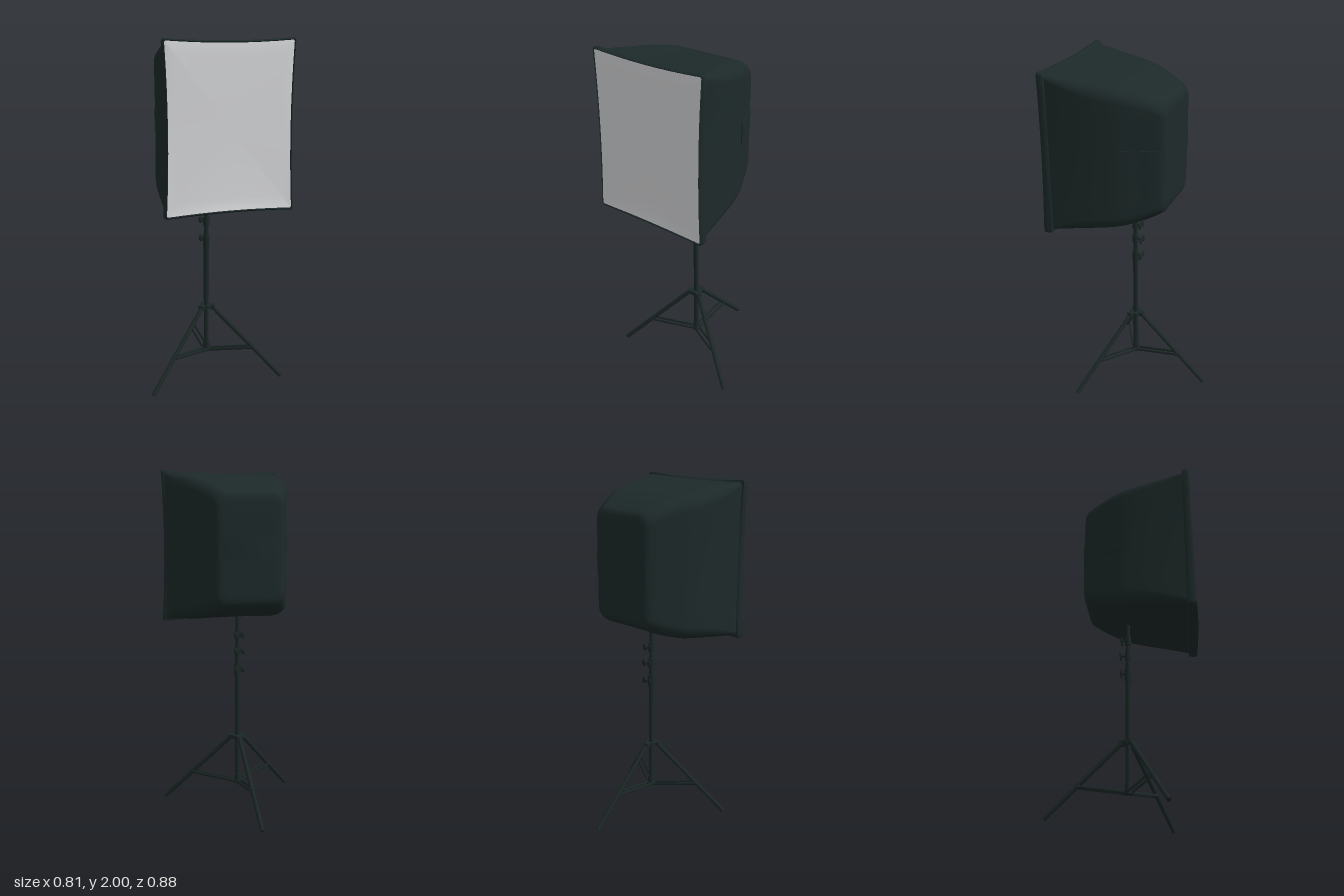
import * as THREE from 'three';
import { toCreasedNormals } from 'three/addons/utils/BufferGeometryUtils.js';

const fabric = new THREE.MeshStandardMaterial({ color: 0x1d2929 });
fabric.name = 'dark fabric';
const metal = new THREE.MeshStandardMaterial({ color: 0x1b2726 });
metal.name = 'dark metal';
const cloth = new THREE.MeshStandardMaterial({ color: 0xdbdcde });
cloth.name = 'white diffuser cloth';

const POLE_Z = 0.022;
const MID_Y = 1.543;

function add(parent, name, geometry, material) {
  const mesh = new THREE.Mesh(geometry, material);
  mesh.name = name;
  parent.add(mesh);
  return mesh;
}

// Rounded rectangle ring, counter-clockwise; bow pulls the sides inward
function ring(z, hw, yb, yt, r, bow = 0) {
  const hh = (yt - yb) / 2, cy = (yt + yb) / 2, pts = [];
  const corners = [[1, 1], [-1, 1], [-1, -1], [1, -1]];
  corners.forEach(([sx, sy], k) => {
    for (let i = 0; i <= 6; i++) {
      const a = (k + i / 6) * Math.PI / 2;
      pts.push([sx * (hw - r) + Math.cos(a) * r, sy * (hh - r) + Math.sin(a) * r]);
    }
    // points along the straight side to the next corner
    const [nx, ny] = corners[(k + 1) % 4];
    const a = (k + 1) * Math.PI / 2;
    for (let i = 1; i < 8; i++) {
      const t = i / 8;
      pts.push([
        (sx + (nx - sx) * t) * (hw - r) + Math.cos(a) * r,
        (sy + (ny - sy) * t) * (hh - r) + Math.sin(a) * r,
      ]);
    }
  });
  return pts.map(([x, y]) => {
    const u = x / hw, v = y / hh;
    return new THREE.Vector3(x - u * bow * (1 - v * v), cy + y - v * bow * (1 - u * u), z);
  });
}

// Front rings lean forward at the bottom, most of all in the middle
function lean(pts) {
  pts.forEach((p) => {
    const u = p.x / 0.36, v = (p.y - MID_Y) / 0.457;
    p.z += -0.006 * v + 0.01 * (1 - u * u) * Math.max(0, -v);
  });
  return pts;
}

// Skin through a row of rings
function loft(rings) {
  const n = rings[0].length, pos = [], idx = [];
  rings.forEach((pts) => pts.forEach((p) => pos.push(p.x, p.y, p.z)));
  for (let i = 0; i < rings.length - 1; i++) {
    for (let j = 0; j < n; j++) {
      const k = (j + 1) % n;
      const a = i * n + j, b = i * n + k, c = b + n, d = a + n;
      idx.push(a, b, c, a, c, d);
    }
  }
  const g = new THREE.BufferGeometry();
  g.setAttribute('position', new THREE.Float32BufferAttribute(pos, 3));
  g.setIndex(idx);
  g.computeVertexNormals();
  return g;
}

const scaled = (pts, s, z) => pts.map((p) => new THREE.Vector3(p.x * s, MID_Y + (p.y - MID_Y) * s, z));

// Rod between two points
function rod(parent, name, a, b, r, material = metal, sides = 12) {
  const dir = b.clone().sub(a);
  const mesh = add(parent, name, new THREE.CylinderGeometry(r, r, dir.length(), sides), material);
  mesh.position.copy(a).lerp(b, 0.5);
  mesh.quaternion.setFromUnitVectors(new THREE.Vector3(0, 1, 0), dir.normalize());
  return mesh;
}

function upright(parent, name, r, y0, y1) {
  return rod(parent, name, new THREE.Vector3(0, y0, 0), new THREE.Vector3(0, y1, 0), r, metal, 20);
}

function createSoftbox() {
  const box = new THREE.Group();
  box.name = 'softbox';

  // Hood stations from back to front: z, half width, bottom, top, corner radius
  const stations = [
    [-0.224, 0.16, 1.28, 1.81, 0.05],
    [-0.214, 0.188, 1.246, 1.847, 0.06],
    [-0.185, 0.212, 1.222, 1.872, 0.07],
    [-0.1, 0.251, 1.182, 1.91, 0.075],
    [0, 0.295, 1.15, 1.939, 0.08],
    [0.1, 0.319, 1.132, 1.956, 0.08],
    [0.2, 0.334, 1.12, 1.968, 0.07],
    [0.3, 0.343, 1.111, 1.978, 0.045],
    [0.385, 0.348, 1.103, 1.985, 0.02],
  ];
  const sizes = new THREE.CatmullRomCurve3(stations.map((s) => new THREE.Vector3(s[0], s[1], s[4])), false, 'catmullrom');
  const heights = new THREE.CatmullRomCurve3(stations.map((s) => new THREE.Vector3(s[0], s[2], s[3])), false, 'catmullrom');
  const rings = [], sideLine = [];
  for (let i = 0; i <= 32; i++) {
    const a = sizes.getPoint(i / 32), b = heights.getPoint(i / 32);
    rings.push(ring(a.x, a.y, b.y, b.z, a.z, 0.008 * i / 32));
    if (a.x <= 0.002) sideLine.push([a.y + 0.002, a.x - (a.x < -0.21 ? 0.003 : 0)]);
  }
  rings.unshift(scaled(rings[0], 0, -0.226), scaled(rings[0], 0.6, -0.226));
  add(box, 'hood', loft(rings), fabric);

  // Hem around the front opening
  const hem = [
    ring(0.374, 0.345, 1.106, 1.983, 0.016, 0.01),
    ring(0.379, 0.358, 1.09, 1.996, 0.014, 0.014),
    ring(0.398, 0.362, 1.086, 2.0, 0.014, 0.014),
    lean(ring(0.416, 0.36, 1.087, 1.999, 0.014, 0.014)),
    lean(ring(0.422, 0.354, 1.094, 1.993, 0.012, 0.014)),
    lean(ring(0.415, 0.348, 1.101, 1.986, 0.01, 0.013)),
  ];
  add(box, 'frontHem', toCreasedNormals(loft(hem), 0.9), fabric);

  // Flat diffuser set just inside the hem
  const edge = lean(ring(0.417, 0.35, 1.099, 1.988, 0.01, 0.013));
  add(box, 'diffuserPanel', loft([edge, scaled(edge, 0.85, 0.418), scaled(edge, 0, 0.418)]), cloth);

  // Strap wrapped around the back
  const outline = [...sideLine].reverse().map(([x, z]) => new THREE.Vector2(x, z));
  outline.push(...sideLine.map(([x, z]) => new THREE.Vector2(-x, z)));
  const strap = new THREE.ExtrudeGeometry(new THREE.Shape(outline), { depth: 0.122, bevelEnabled: false });
  strap.rotateX(Math.PI / 2);
  add(box, 'backStrap', toCreasedNormals(strap, 0.6), fabric).position.y = 1.614;

  // Slanted seam below the strap
  rod(box, 'backSeam', new THREE.Vector3(-0.145, 1.492, -0.225), new THREE.Vector3(-0.05, 1.305, -0.225), 0.003, fabric, 6);
  return box;
}

function createStand() {
  const stand = new THREE.Group();
  stand.name = 'stand';
  stand.position.z = POLE_Z;

  // Telescoping pole
  upright(stand, 'lowerPole', 0.015, 0.14, 0.84);
  upright(stand, 'middlePole', 0.0135, 0.84, 0.95);
  upright(stand, 'upperPole', 0.012, 0.95, 1.4);

  // Locking collars with wing knobs
  [[0.84, 0.02, 0.045], [0.95, 0.018, 0.048], [1.045, 0.018, 0.042]].forEach(([y, r, reach]) => {
    upright(stand, 'collar', r, y - (y < 0.9 ? 0.045 : 0.025), y + 0.025);
    rod(stand, 'knobScrew', new THREE.Vector3(0, y, 0), new THREE.Vector3(0, y, -reach), 0.007);
    for (const side of [-1, 1]) {
      const wing = add(stand, 'knobWing', new THREE.SphereGeometry(0.02, 14, 10), metal);
      wing.scale.set(0.7, 1.05, 0.35);
      wing.position.set(side * 0.02, y, -reach + 0.006);
    }
  });

  // Leg hubs
  upright(stand, 'upperHub', 0.034, 0.41, 0.432);
  upright(stand, 'lowerHub', 0.026, 0.136, 0.152);
  upright(stand, 'lowerHubSleeve', 0.019, 0.152, 0.19);

  // Three legs, each with a pair of flat braces
  for (let i = 0; i < 3; i++) {
    const leg = new THREE.Group();
    leg.name = 'legAssembly';
    leg.rotation.y = Math.PI + i * Math.PI * 2 / 3;
    const top = new THREE.Vector3(0, 0.42, 0.038), foot = new THREE.Vector3(0, 0.01, 0.457);
    rod(leg, 'leg', top, foot, 0.0125);
    add(leg, 'hubBracket', new THREE.BoxGeometry(0.032, 0.024, 0.035), metal).position.set(0, 0.42, 0.034);
    rod(leg, 'braceClamp', top.clone().lerp(foot, 0.55), top.clone().lerp(foot, 0.59), 0.0145);
    for (const side of [-1, 1]) {
      const brace = rod(leg, 'brace', new THREE.Vector3(side * 0.015, 0.145, 0.015), new THREE.Vector3(side * 0.015, 0.182, 0.28), 0.009, metal, 8);
      brace.scale.x = 0.45;
    }
    stand.add(leg);
  }
  return stand;
}

export function createModel() {
  const model = new THREE.Group();
  model.name = 'studioSoftboxLight';
  model.add(createSoftbox(), createStand());
  return model;
}
